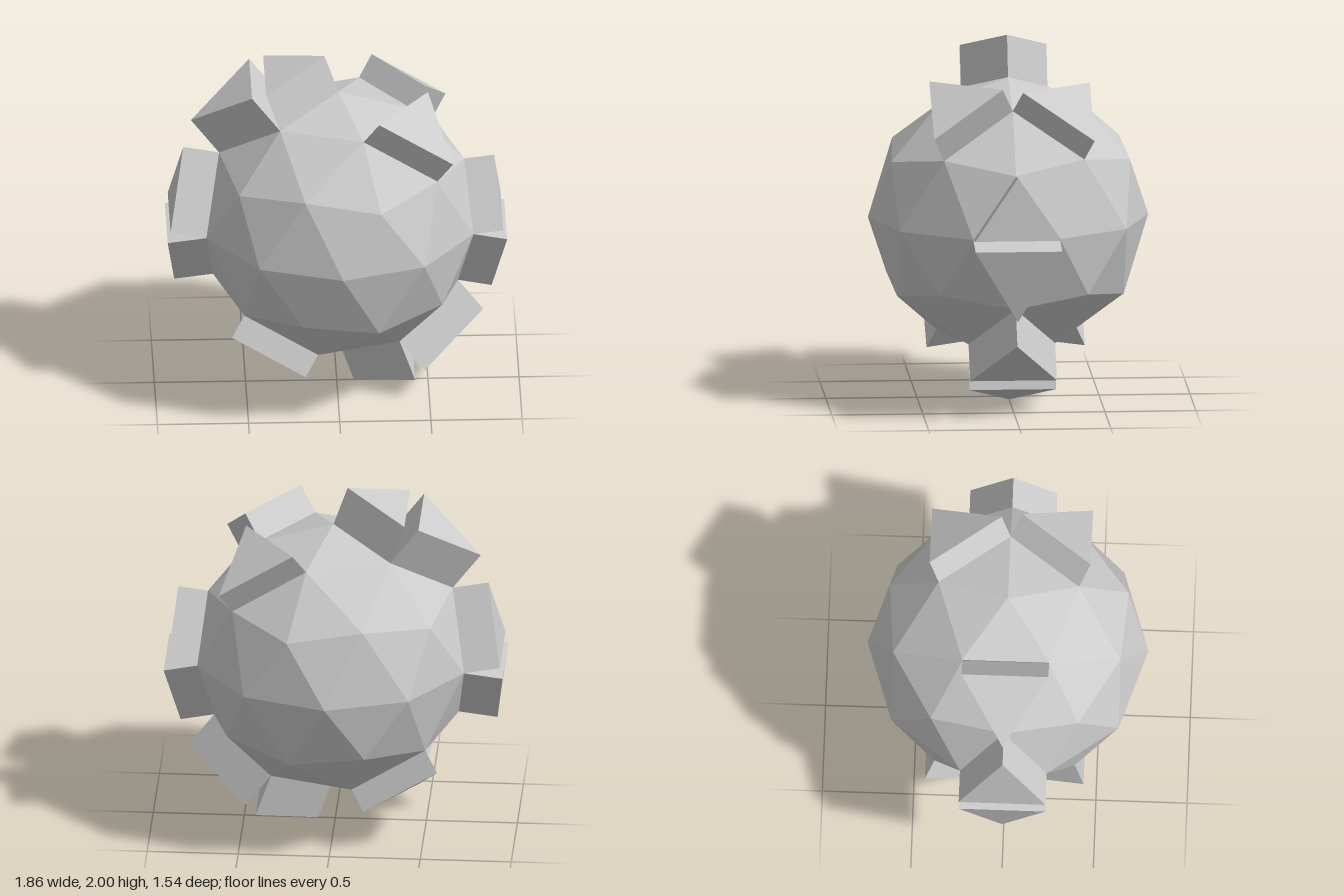
import * as THREE from 'three';

const RADIUS = 0.77;
const CENTRE = new THREE.Vector3(0.01, 1.01, 0);

const material = new THREE.MeshStandardMaterial({ color: 0xcccccc, flatShading: true });

// Unit direction from azimuth (around y, from +x towards +z) and latitude, in degrees
function direction(azimuth, latitude) {
  const a = THREE.MathUtils.degToRad(azimuth);
  const l = THREE.MathUtils.degToRad(latitude);
  return new THREE.Vector3(Math.cos(l) * Math.cos(a), Math.sin(l), Math.cos(l) * Math.sin(a));
}

// Split the faceted sphere into its flat triangles
function listFacets(geometry) {
  const position = geometry.attributes.position;
  const facets = [];
  for (let i = 0; i < position.count; i += 3) {
    const corners = [0, 1, 2].map((k) => new THREE.Vector3().fromBufferAttribute(position, i + k));
    const triangle = new THREE.Triangle(...corners);
    facets.push({
      corners,
      normal: triangle.getNormal(new THREE.Vector3()),
      middle: triangle.getMidpoint(new THREE.Vector3()).normalize(),
    });
  }
  return facets;
}

// Triangular prism standing on a facet
function prismGeometry({ corners, normal }, height) {
  const top = corners.map((c) => c.clone().addScaledVector(normal, height));
  const points = [...top];
  for (let i = 0; i < 3; i++) {
    const j = (i + 1) % 3;
    points.push(corners[i], corners[j], top[j], corners[i], top[j], top[i]);
  }
  const geometry = new THREE.BufferGeometry().setFromPoints(points);
  geometry.computeVertexNormals();
  return geometry;
}

export function createModel() {
  const group = new THREE.Group();

  // Faceted ball, turned so that one five-sided corner points straight up
  const ball = new THREE.IcosahedronGeometry(RADIUS, 1);
  ball.rotateZ(-Math.atan(2 / (1 + Math.sqrt(5))));
  ball.computeVertexNormals();
  const body = new THREE.Mesh(ball, material);
  body.name = 'facetedBall';
  body.position.copy(CENTRE);
  group.add(body);

  // Raised blocks: name, azimuth, latitude, height
  const blocks = [
    ['topBlock', 180, 72.5, 0.235],
    ['upperRightBlock', 180, 52.6, 0.255],
    ['rightBlock', 180, 10.8, 0.2],
    ['lowerRightBlock', 180, -9.1, 0.214],
    ['upperLeftBlock', 0, 9.1, 0.165],
    ['leftBlock', 0, -10.8, 0.188],
    ['lowerLeftBlock', 0, -52.6, 0.228],
    ['bottomBlock', 0, -72.5, 0.255],
    ['shoulderBlockFront', 36, 52.6, 0.17],
    ['shoulderBlockBack', -36, 52.6, 0.145],
    ['undersideBlockFront', 144, -52.6, 0.14],
    ['undersideBlockBack', -144, -52.6, 0.14],
  ];
  const facets = listFacets(ball);
  for (const [name, azimuth, latitude, height] of blocks) {
    const aim = direction(azimuth, latitude);
    const facet = facets.reduce((a, b) => (b.middle.dot(aim) > a.middle.dot(aim) ? b : a));
    const block = new THREE.Mesh(prismGeometry(facet, height), material);
    block.name = name;
    block.position.copy(CENTRE);
    group.add(block);
  }
  return group;
}
